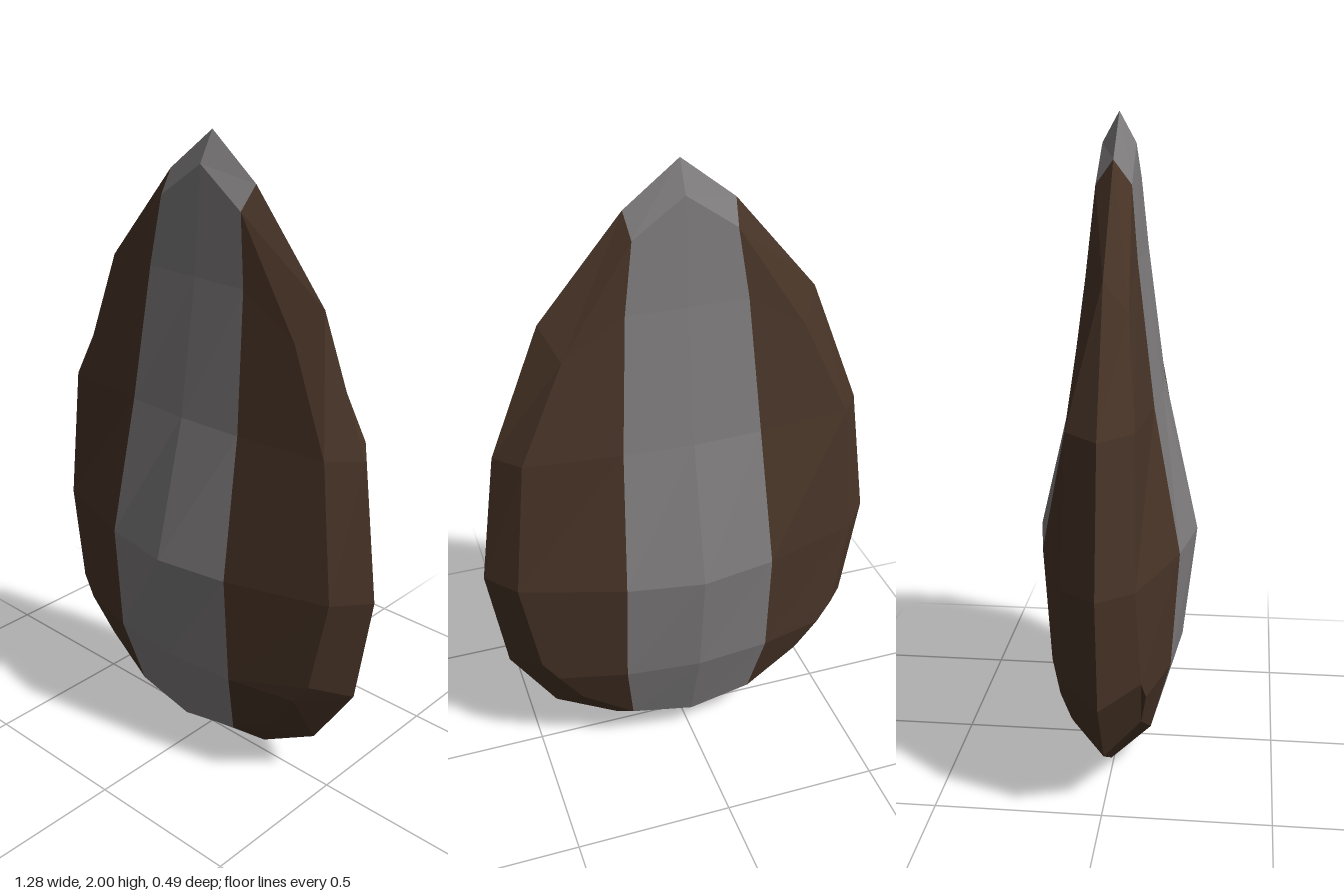
import * as THREE from 'three';

// One quarter of the faceted shell (+x, +z); the rest is mirrored.
const rim = [[0, 2, 0], [0.165, 1.87, 0], [0.42, 1.565, 0], [0.58, 1.16, 0], [0.64, 0.73, 0],
  [0.585, 0.38, 0], [0.44, 0.16, 0], [0.235, 0.04, 0], [0, 0, 0]];
const ridge = [[0, 1.91, 0.05], [0, 1.59, 0.075], [0, 1.17, 0.135], [0, 0.73, 0.247], [0, 0.37, 0.205], [0, 0.1, 0.125]];
const seam = [[0.155, 1.8, 0.052], [0.185, 1.59, 0.072], [0.215, 1.17, 0.125], [0.238, 0.73, 0.206],
  [0.238, 0.37, 0.182], [0.205, 0.14, 0.12]];
const [a, b, c, d, e, f] = [[0.37, 1.47, 0.065], [0.51, 1.17, 0.095], [0.555, 0.73, 0.103],
  [0.5, 0.43, 0.115], [0.45, 0.365, 0.125], [0.372, 0.245, 0.105]];

// Mirrors the faces into all four quarters, fanning each polygon into triangles
function shell(name, color, faces) {
  const pos = [];
  for (const sx of [1, -1]) for (const sz of [1, -1]) {
    for (const face of faces) {
      const pts = face.map(([x, y, z]) => [x * sx, y, z * sz]);
      if (sx * sz > 0) pts.reverse();
      for (let i = 1; i < pts.length - 1; i++) pos.push(...pts[0], ...pts[i], ...pts[i + 1]);
    }
  }
  const geo = new THREE.BufferGeometry();
  geo.setAttribute('position', new THREE.Float32BufferAttribute(pos, 3));
  geo.computeVertexNormals();
  const mesh = new THREE.Mesh(geo, new THREE.MeshStandardMaterial({ color, flatShading: true }));
  mesh.name = name;
  return mesh;
}

export function createModel() {
  const group = new THREE.Group();
  group.name = 'facetedSeed';

  // Grey band running over the tip, down both faces and under the base
  const band = [[rim[0], rim[1], seam[0], ridge[0]], [ridge[5], seam[5], rim[7], rim[8]]];
  for (let i = 0; i < 5; i++) band.push([ridge[i], seam[i], seam[i + 1], ridge[i + 1]]);
  group.add(shell('centreBand', 0x7e7b7c, band));

  // Brown flanks: broad faces, then the bevel out to the sharp rim
  group.add(shell('sideShells', 0x483427, [
    [seam[0], a, seam[1]],
    [seam[1], a, b, seam[2]],
    [seam[2], b, c, seam[3]],
    [seam[3], c, d, e, seam[4]],
    [seam[4], e, f, seam[5]],
    [rim[1], rim[2], a, seam[0]],
    [a, rim[2], rim[3], b],
    [b, rim[3], rim[4], c],
    [c, rim[4], rim[5], d],
    [d, rim[5], rim[6], f, e],
    [f, rim[6], rim[7], seam[5]],
  ]));
  return group;
}
